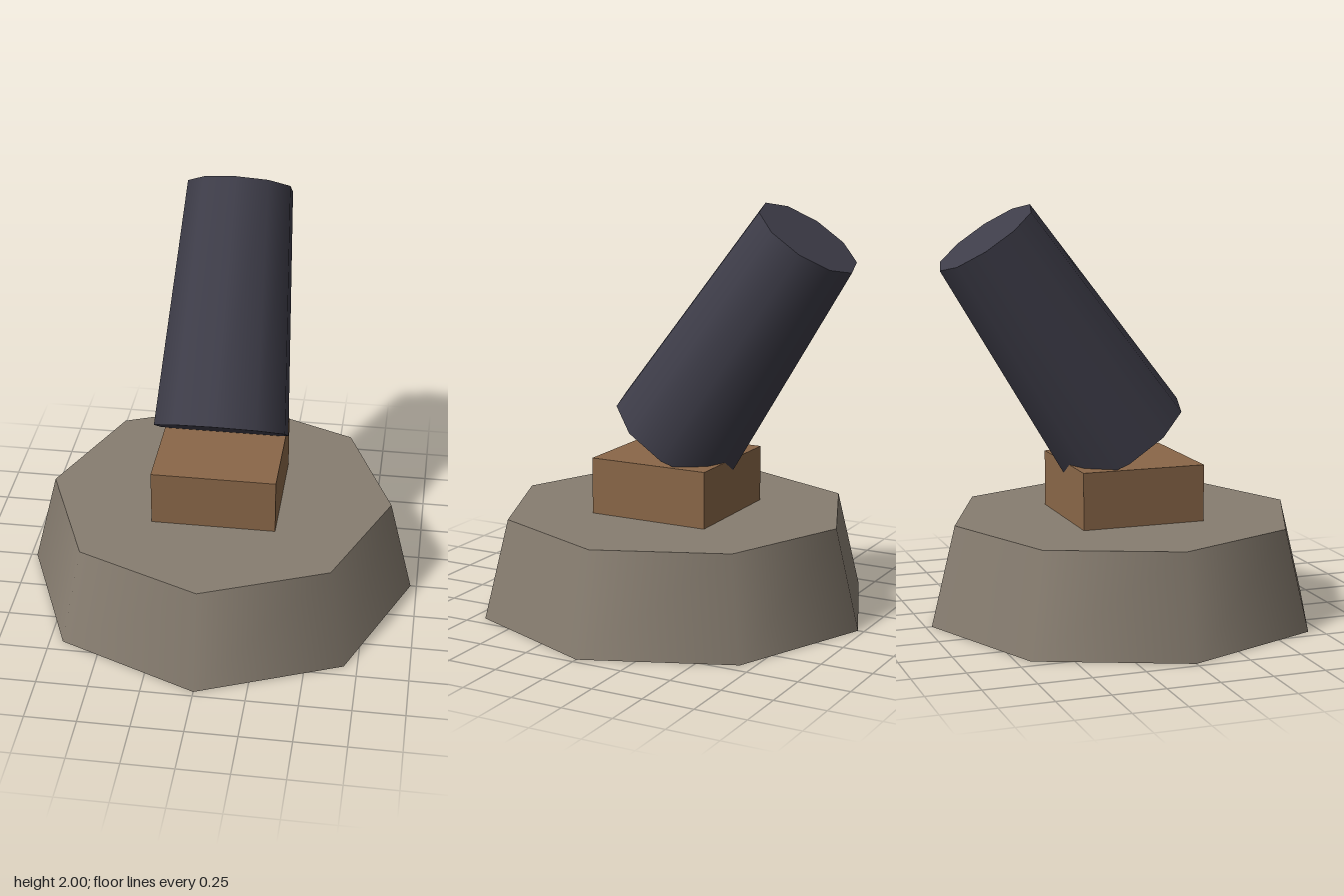
import * as THREE from 'three';

export function createModel() {
  const model = new THREE.Group();
  const material = (name, color) => {
    const m = new THREE.MeshStandardMaterial({ color });
    m.name = name;
    return m;
  };
  const stone = material('stone', 0x877d70);
  const wood = material('wood', 0x8a6748);
  const iron = material('dark iron', 0x3e3d49);

  const add = (name, geometry, mat, y, z = 0) => {
    const mesh = new THREE.Mesh(geometry, mat);
    mesh.name = name;
    mesh.position.set(0, y, z);
    model.add(mesh);
    return mesh;
  };

  // Tapered eight-sided plinth
  add('base', new THREE.CylinderGeometry(0.85, 0.97, 0.485, 8), stone, 0.2425);

  // Square mounting block
  add('mountBlock', new THREE.BoxGeometry(0.608, 0.275, 0.608), wood, 0.6225);

  // Closed ten-sided barrel, leaning back
  const barrel = add('barrel', new THREE.CylinderGeometry(0.266, 0.338, 1.213, 10), iron, 1.35, -0.34);
  barrel.rotation.x = -0.6;

  return model;
}
